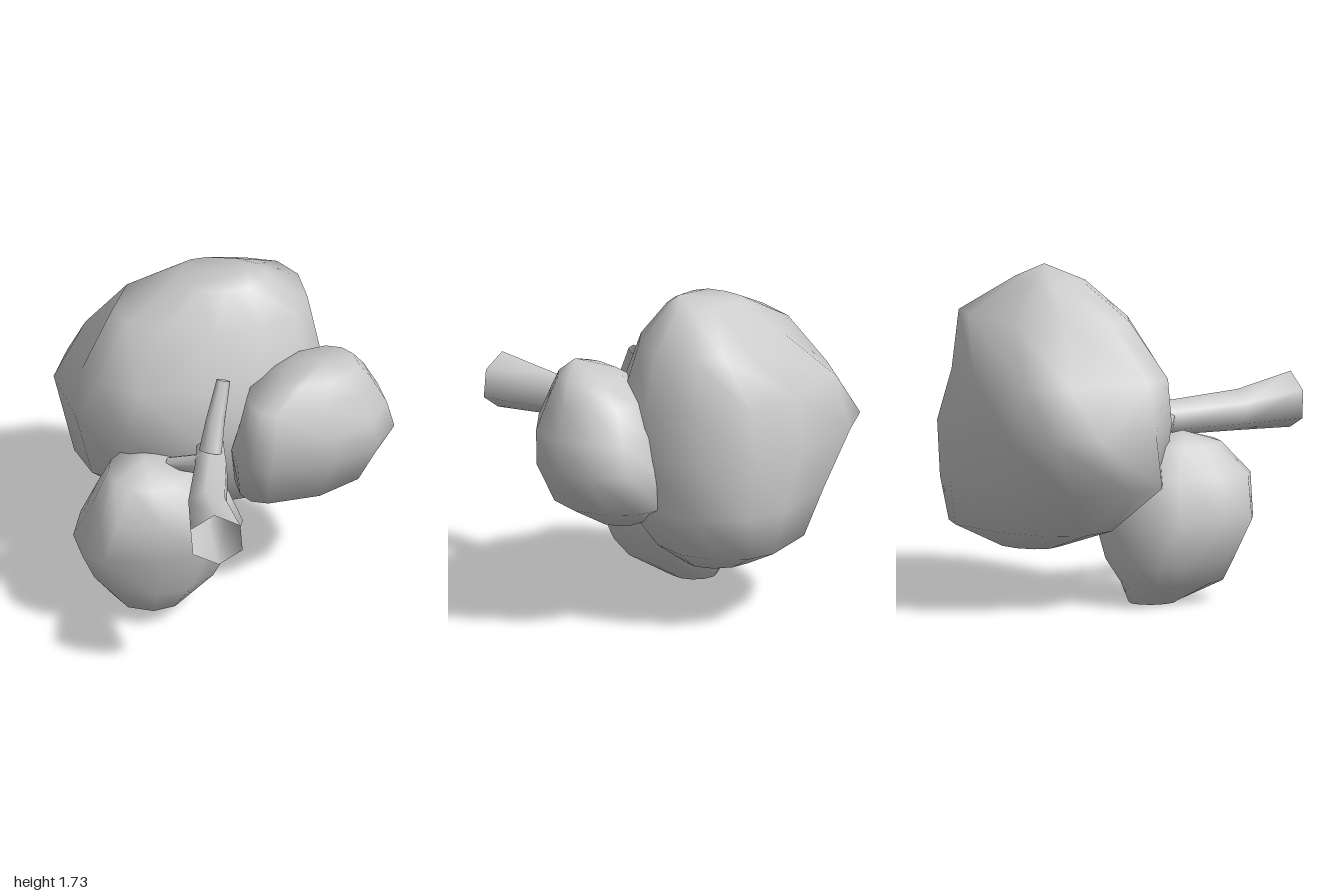
import * as THREE from 'three';
import { mergeVertices } from 'three/addons/utils/BufferGeometryUtils.js';

const material = new THREE.MeshStandardMaterial({ color: 0xcccccc });
const barkMaterial = new THREE.MeshStandardMaterial({ color: 0xcccccc, side: THREE.DoubleSide });

// Skin a list of closed rings with smooth normals
function loft(rings) {
  const n = rings[0].length;
  const index = [];
  for (let k = 0; k < rings.length - 1; k++) {
    for (let j = 0; j < n; j++) {
      const a = k * n + j, b = k * n + (j + 1) % n;
      index.push(a, b, a + n, b, b + n, a + n);
    }
  }
  let geometry = new THREE.BufferGeometry().setFromPoints(rings.flat());
  geometry.setIndex(index);
  geometry = mergeVertices(geometry, 1e-4);
  geometry.computeVertexNormals();
  return geometry;
}

// Foliage clump: levels [y, xMin, xMax, zMin, zMax, lean, corners] from top to bottom.
// lean gives where along a level its widest points sit:
// [z of xMin, z of xMax, x of zMin, x of zMax], as fractions of the extent.
// corners gives the fullness exponents [+x+z, -x+z, -x-z, +x-z]; 1 is an ellipse, less is fuller.
function clump(name, levels, baseLean, baseCorners) {
  const sides = 12;
  const { lerp } = THREE.MathUtils;
  const rings = levels.map(([y, x0, x1, z0, z1, lean = baseLean, corners = baseCorners]) => {
    const ring = [];
    for (let j = 0; j < sides; j++) {
      const t = (j / sides) * Math.PI * 2;
      const e = corners[Math.floor(j / 3)];
      const c = Math.round(Math.cos(t) * 1e6) / 1e6;
      const s = Math.round(Math.sin(t) * 1e6) / 1e6;
      const cx = lerp(x0, x1, s < 0 ? lean[2] : lean[3]);
      const cz = lerp(z0, z1, c < 0 ? lean[0] : lean[1]);
      const x = cx + Math.abs(c) ** e * ((c < 0 ? x0 : x1) - cx);
      const z = cz + Math.abs(s) ** e * ((s < 0 ? z0 : z1) - cz);
      ring.push(new THREE.Vector3(x, y, z));
    }
    return ring;
  });
  // close the flat underside
  const [y, x0, x1, z0, z1] = levels.at(-1);
  rings.push(rings[0].map(() => new THREE.Vector3((x0 + x1) / 2, y, (z0 + z1) / 2)));
  const mesh = new THREE.Mesh(loft(rings), material);
  mesh.name = name;
  return mesh;
}

// Open six-sided limb through stations [x, y, z, radius]
function limb(name, stations, phase = 0) {
  const first = new THREE.Vector3(...stations[0]);
  const dir = new THREE.Vector3(...stations.at(-1)).sub(first).normalize();
  const u = new THREE.Vector3(1, 0, 0).addScaledVector(dir, -dir.x).normalize();
  const v = dir.clone().cross(u);
  const rings = stations.map(([x, y, z, r]) => {
    const ring = [];
    for (let j = 0; j < 6; j++) {
      const t = phase + (j / 6) * Math.PI * 2;
      ring.push(new THREE.Vector3(x, y, z)
        .addScaledVector(u, r * Math.cos(t)).addScaledVector(v, r * Math.sin(t)));
    }
    return ring;
  });
  const mesh = new THREE.Mesh(loft(rings), barkMaterial);
  mesh.name = name;
  return mesh;
}

export function createModel() {
  const tree = new THREE.Group();
  tree.name = 'lyingTree';

  // Crown: one large clump and two smaller ones
  tree.add(clump('largeFoliage', [
    [1.74, 0.13, 0.13, -0.34, -0.34],
    [1.68, -0.21, 0.23, -0.56, -0.23, [0.5, 0.5, 0.3, 0.5], [1, 0.7, 0.7, 1]],
    [1.51, -0.58, 0.44, -0.8, -0.09, [0.62, 0.55, 0.7, 0.5], [1, 0.9, 0.95, 0.85]],
    [1.22, -0.75, 0.5, -0.92, 0.05, [0.7, 0.55, 0.5, 0.5], [1.05, 0.85, 0.6, 0.9]],
    [0.95, -0.87, 0.53, -1.0, 0.12, [0.36, 0.54, 0.6, 0.52], [1.05, 0.9, 0.75, 1]],
    [0.65, -0.78, 0.5, -0.96, 0.06, [0.6, 0.54, 0.65, 0.5], [1.05, 0.9, 0.9, 1]],
    [0.42, -0.6, 0.38, -0.91, -0.14, [0.5, 0.5, 0.7, 0.5], [1, 1, 1, 1]],
    [0.30, -0.22, 0.2, -0.68, -0.36],
  ], [0.5, 0.6, 0.5, 0.6], [1, 1, 1, 1]));

  tree.add(clump('leftFoliage', [
    [1.41, 0.49, 0.49, 0.07, 0.07],
    [1.34, 0.28, 0.68, -0.2, 0.18],
    [1.23, 0.09, 0.75, -0.33, 0.27],
    [1.07, 0.05, 0.83, -0.42, 0.34],
    [0.9, 0.01, 0.87, -0.46, 0.32],
    [0.68, 0.03, 0.75, -0.47, 0.27],
    [0.55, 0.2, 0.52, -0.28, 0.0],
  ], [0.7, 0.48, 0.6, 0.22], [1.05, 0.85, 1, 0.95]));

  const lowerLean = [0.3, 0.5, 0.4, 0.5];
  tree.add(clump('rightFoliage', [
    [0.9, -0.45, -0.45, 0.15, 0.15],
    [0.84, -0.64, -0.2, -0.08, 0.36],
    [0.68, -0.72, -0.01, -0.22, 0.48, [0.6, 0.5, 0.45, 0.5], [0.95, 0.5, 1, 1]],
    [0.46, -0.82, 0.07, -0.28, 0.46, [0.6, 0.5, 0.45, 0.5], [0.95, 0.55, 1, 1]],
    [0.23, -0.75, -0.05, -0.25, 0.41, lowerLean, [1, 0.75, 0.95, 1]],
    [0.11, -0.64, -0.19, -0.19, 0.38, lowerLean, [1, 0.8, 1, 1]],
    [0.01, -0.54, -0.31, -0.15, 0.1],
  ], [0.55, 0.5, 0.45, 0.5], [1, 1, 1, 1]));

  // Hollow trunk, flared at the cut end
  tree.add(limb('trunk', [
    [-0.1, 0.92, 0.1, 0.08],
    [-0.11, 0.91, 0.3, 0.095],
    [-0.155, 0.925, 0.66, 0.11],
    [-0.13, 0.95, 1.0, 0.15],
  ], 0.6));

  // Branches at the top of the trunk
  tree.add(limb('upperBranch', [
    [-0.11, 0.98, 0.22, 0.06],
    [-0.08, 1.12, 0.15, 0.05],
    [-0.03, 1.32, 0.06, 0.036],
  ]));
  tree.add(limb('rightBranch', [
    [-0.15, 0.91, 0.22, 0.06],
    [-0.32, 0.86, 0.12, 0.03],
  ]));
  return tree;
}
